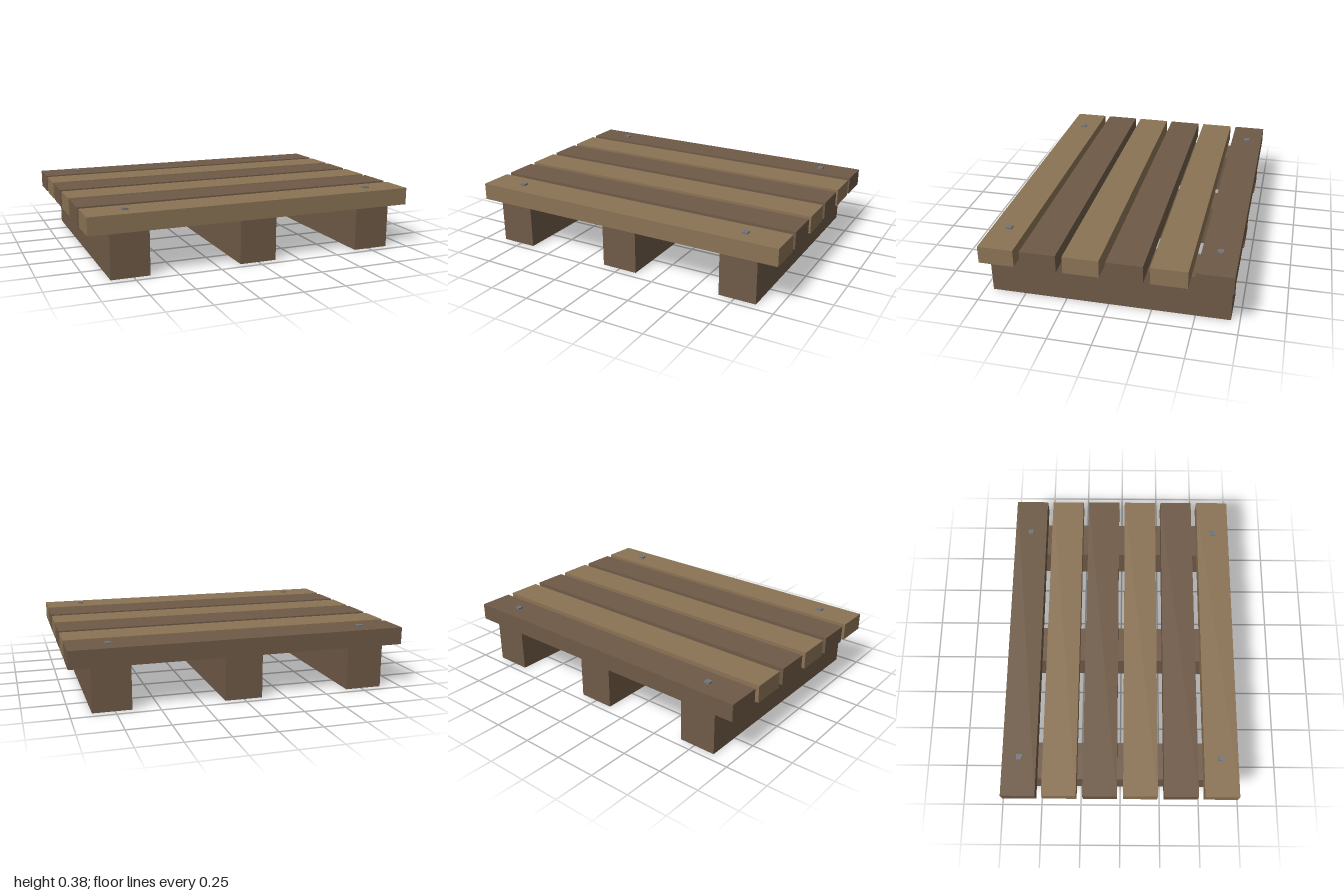
import * as THREE from 'three';

const lightWood = new THREE.MeshStandardMaterial({ color: 0x8b7355 });
const darkWood = new THREE.MeshStandardMaterial({ color: 0x6f5a47 });
const steel = new THREE.MeshStandardMaterial({ color: 0x70757a });

export function createModel() {
  const group = new THREE.Group();

  // Adds a box whose underside sits at height y
  const addBox = (name, material, [w, h, d], [x, y, z]) => {
    const mesh = new THREE.Mesh(new THREE.BoxGeometry(w, h, d), material);
    mesh.name = name;
    mesh.position.set(x, y + h / 2, z);
    group.add(mesh);
  };

  const bearerX = 0.767;
  const slatPitch = 0.2445;
  const outerSlatZ = slatPitch * 2.5;

  // Three bearers running front to back
  for (const x of [-bearerX, 0, bearerX]) {
    addBox('bearer', darkWood, [0.225, 0.26, 1.4], [x, 0, 0]);
  }

  // Six deck slats, alternating dark and light from the back
  for (let i = 0; i < 6; i++) {
    const material = i % 2 ? lightWood : darkWood;
    addBox('deckSlat', material, [2, 0.104, 0.207], [0, 0.261, -outerSlatZ + i * slatPitch]);
  }

  // Square nail heads at the corners
  for (const x of [-bearerX, bearerX]) {
    for (const z of [-outerSlatZ, outerSlatZ]) {
      addBox('nailHead', steel, [0.034, 0.02, 0.034], [x, 0.355, z]);
    }
  }

  return group;
}
